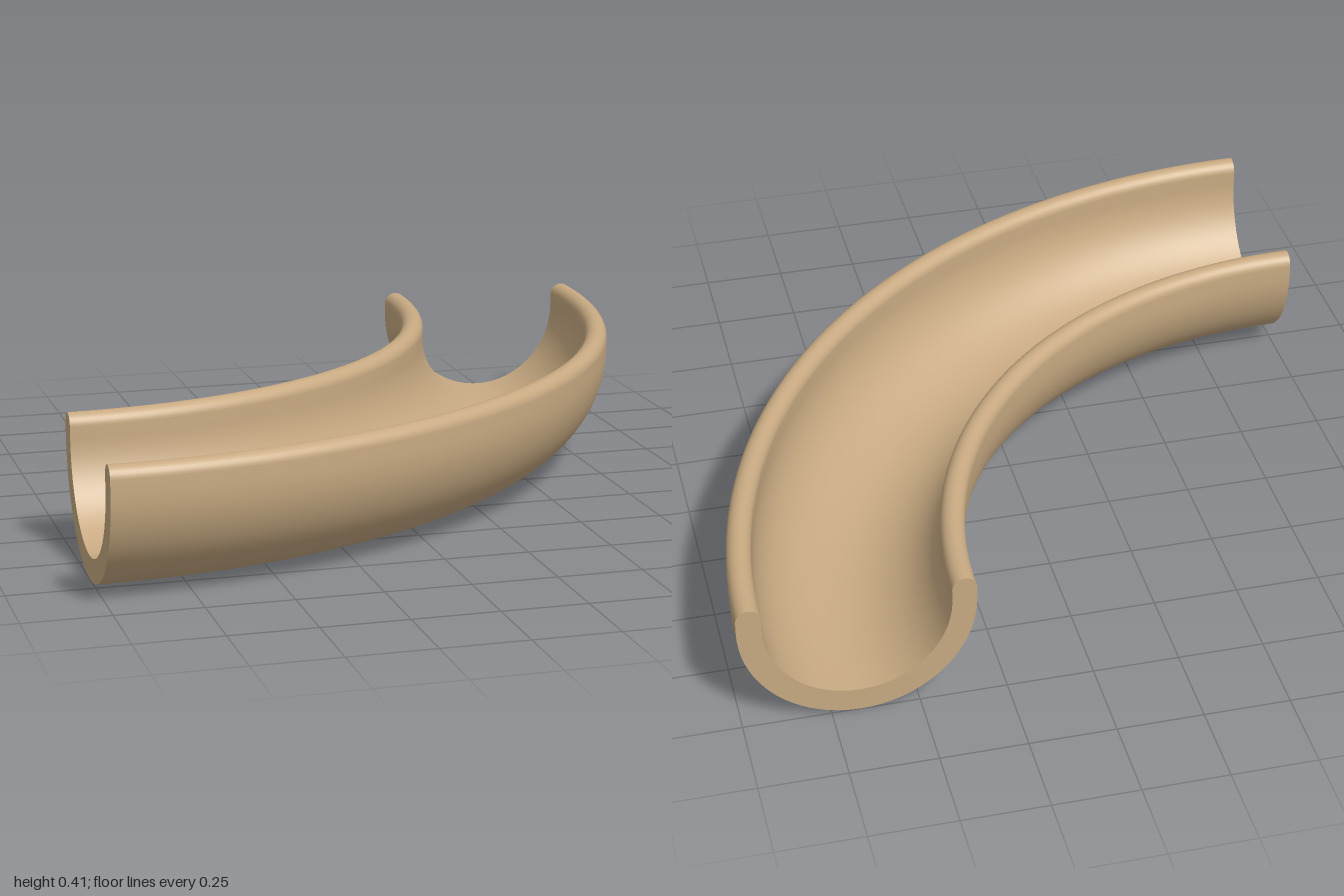
import * as THREE from 'three';

const BEND = 1.667;   // radius of the channel's centre line
const OUTER = 0.333;  // outer radius of the half-round section
const INNER = 0.263;  // inner radius of the half-round section
const LIP = (OUTER - INNER) / 2; // rounded rim radius
const RIM_Y = 0.37;   // height of the rim rounding centres

// Adds an arc, including both ends, to a profile
function arc(points, cx, cy, r, from, to, steps) {
  for (let i = 0; i <= steps; i++) {
    const a = from + (to - from) * i / steps;
    points.push(new THREE.Vector2(cx + r * Math.cos(a), cy + r * Math.sin(a)));
  }
}

// Closed U-shaped section, counter-clockwise
function channelProfile() {
  const p = [];
  const mid = (OUTER + INNER) / 2;
  p.push(new THREE.Vector2(BEND - OUTER, (OUTER + RIM_Y) / 2));
  arc(p, BEND, OUTER, OUTER, Math.PI, 2 * Math.PI, 48);
  arc(p, BEND + mid, RIM_Y, LIP, 0, Math.PI, 14);
  arc(p, BEND, OUTER, INNER, 2 * Math.PI, Math.PI, 48);
  arc(p, BEND - mid, RIM_Y, LIP, 0, Math.PI, 14);
  p.push(p[0].clone());
  return p;
}

export function createModel() {
  const group = new THREE.Group();
  group.name = 'curvedChannel';
  const tan = new THREE.MeshStandardMaterial({ color: 0xc8aa82 });
  tan.name = 'tan';

  const add = (name, geometry) => {
    const mesh = new THREE.Mesh(geometry, tan);
    mesh.name = name;
    mesh.position.set(-1, 0, -1);
    group.add(mesh);
  };

  // Quarter-turn gutter
  const profile = channelProfile();
  add('channel', new THREE.LatheGeometry(profile, 96, 0, Math.PI / 2));

  // Flat cut ends
  const section = profile.slice(0, -1);
  const mirrored = section.map(v => new THREE.Vector2(-v.x, v.y));
  add('leftCutEnd', new THREE.ShapeGeometry(new THREE.Shape(mirrored)).rotateY(Math.PI));
  add('rightCutEnd', new THREE.ShapeGeometry(new THREE.Shape(section)).rotateY(-Math.PI / 2));

  return group;
}
